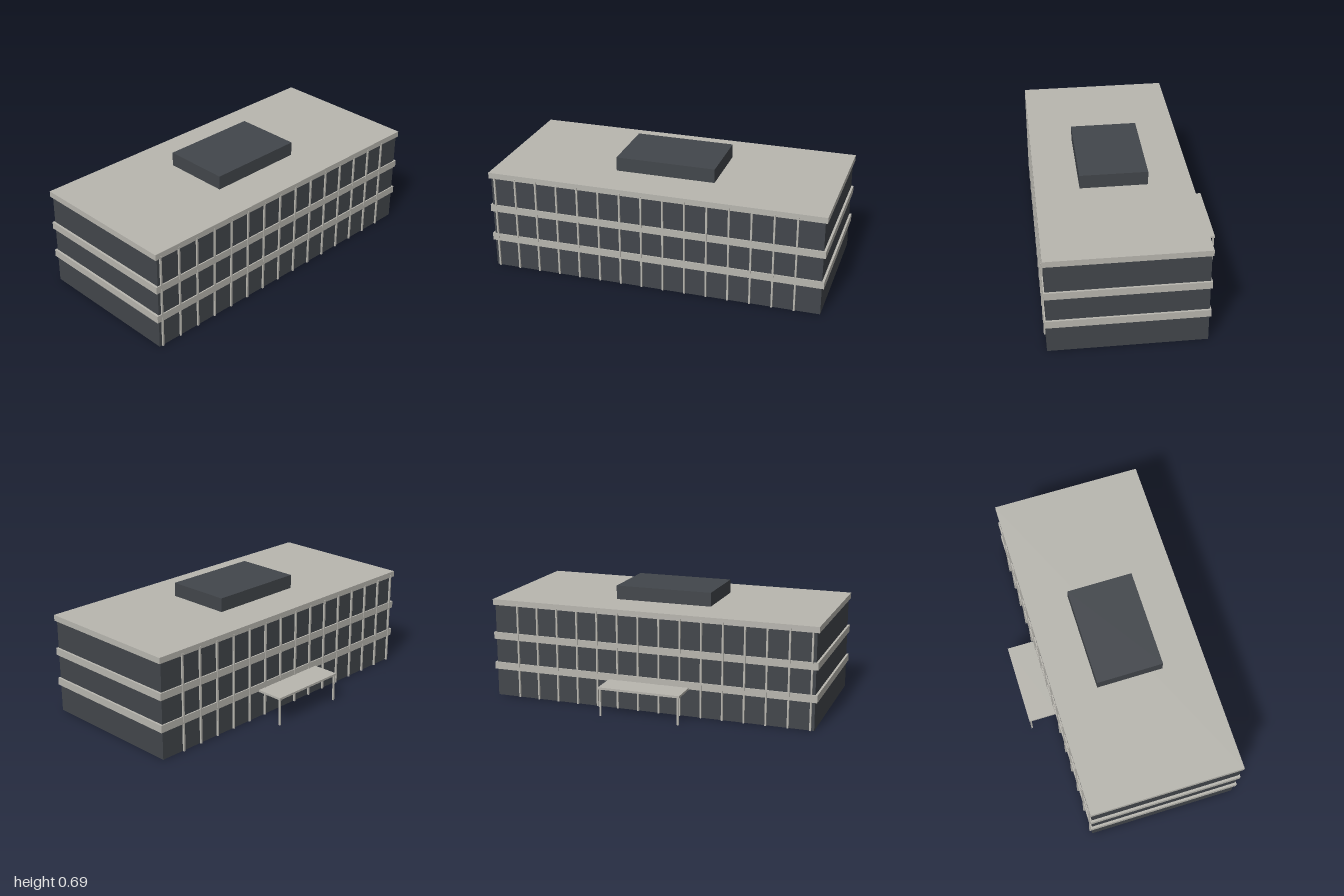
import * as THREE from 'three';

export function createModel() {
  const model = new THREE.Group();
  model.name = 'officeBuilding';

  const concrete = new THREE.MeshStandardMaterial({ color: 0xb8b6af });
  concrete.name = 'pale concrete';
  const glass = new THREE.MeshStandardMaterial({ color: 0x42464b });
  glass.name = 'dark glass';

  // Box given by its limits on each axis
  function block(name, material, [x0, x1], [y0, y1], [z0, z1], parent = model) {
    const mesh = new THREE.Mesh(new THREE.BoxGeometry(x1 - x0, y1 - y0, z1 - z0), material);
    mesh.position.set((x0 + x1) / 2, (y0 + y1) / 2, (z0 + z1) / 2);
    mesh.name = name;
    parent.add(mesh);
    return mesh;
  }

  // Glazed body, floor bands and roof slab
  block('glazedBody', glass, [-0.987, 0.987], [0, 0.58], [-0.364, 0.528]);
  block('lowerFloorBand', concrete, [-1, 1], [0.166, 0.21], [-0.372, 0.535]);
  block('upperFloorBand', concrete, [-1, 1], [0.355, 0.398], [-0.372, 0.535]);
  block('roofSlab', concrete, [-1, 1], [0.567, 0.602], [-0.372, 0.535]);

  // Rooftop plant room
  block('rooftopPlantRoom', glass, [-0.297, 0.297], [0.602, 0.685], [-0.117, 0.279]);

  // Vertical mullions along the front and back
  const mullions = new THREE.Group();
  mullions.name = 'mullions';
  model.add(mullions);
  for (let i = 0; i < 15; i++) {
    const x = -0.965 + i * 0.1288;
    block('frontMullion', concrete, [x - 0.005, x + 0.005], [0, 0.58], [0.526, 0.537], mullions);
    block('backMullion', concrete, [x - 0.005, x + 0.005], [0, 0.58], [-0.375, -0.362], mullions);
  }

  // Entrance canopy on two posts at the back
  const canopy = new THREE.Group();
  canopy.name = 'entranceCanopy';
  model.add(canopy);
  block('canopySlab', concrete, [-0.248, 0.248], [0.162, 0.175], [-0.537, -0.364], canopy);
  for (const side of [-1, 1]) {
    const x = side * 0.238;
    block('canopyPost', concrete, [x - 0.005, x + 0.005], [0, 0.162], [-0.533, -0.523], canopy);
  }

  return model;
}
